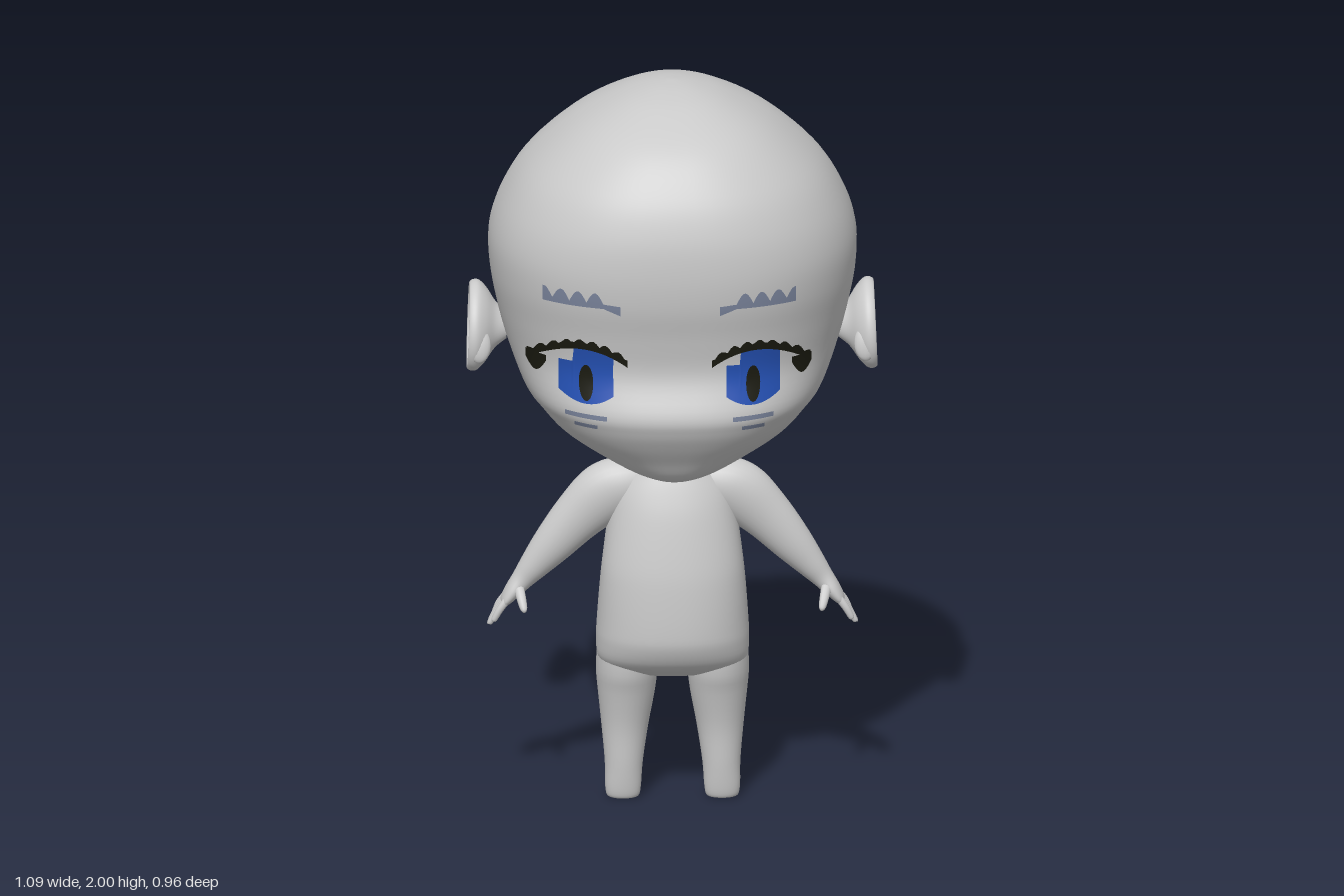
import * as THREE from 'three';

const mat = (name, color, side = THREE.FrontSide) => {
  const m = new THREE.MeshStandardMaterial({ color, side });
  m.name = name;
  return m;
};

// Smoothly resample a table of rows (Catmull-Rom on every column)
function resample(rows, steps) {
  const out = [];
  const at = (i) => rows[Math.max(0, Math.min(rows.length - 1, i))];
  for (let i = 0; i < rows.length - 1; i++) {
    for (let s = 0; s < steps; s++) {
      const t = s / steps;
      out.push(rows[i].map((b, k) => {
        const a = at(i - 1)[k], c = at(i + 1)[k], d = at(i + 2)[k];
        return b + 0.5 * t * (c - a + t * (2 * a - 5 * b + 4 * c - d + t * (3 * (b - c) + d - a)));
      }));
    }
  }
  out.push(rows[rows.length - 1]);
  return out;
}

// Skin closed rings of points, with a centre point capping each end
function loft(rings) {
  const n = rings[0].length, pos = [], idx = [];
  rings.forEach((r) => r.forEach((p) => pos.push(p.x, p.y, p.z)));
  for (let i = 0; i < rings.length - 1; i++) {
    for (let j = 0; j < n; j++) {
      const a = i * n + j, b = i * n + (j + 1) % n;
      idx.push(a, a + n, b, b, a + n, b + n);
    }
  }
  [0, rings.length - 1].forEach((ri, end) => {
    const c = new THREE.Vector3();
    rings[ri].forEach((p) => c.addScaledVector(p, 1 / n));
    const ci = pos.length / 3;
    pos.push(c.x, c.y, c.z);
    for (let j = 0; j < n; j++) {
      const a = ri * n + j, b = ri * n + (j + 1) % n;
      if (end) idx.push(ci, b, a); else idx.push(ci, a, b);
    }
  });
  const g = new THREE.BufferGeometry();
  g.setAttribute('position', new THREE.Float32BufferAttribute(pos, 3));
  g.setIndex(idx);
  g.computeVertexNormals();
  return g;
}

// Upright form; rows are [y, half width, front z, back z], bottom to top
const spow = (v, e) => Math.sign(v) * Math.pow(Math.abs(v), e);
function upright(rows, frontPower, n = 56) {
  return loft(rows.map(([y, w, f, b]) => Array.from({ length: n }, (_, j) => {
    const a = (j / n) * Math.PI * 2, s = Math.sin(a), e = s > 0 ? 2 / frontPower : 1;
    return new THREE.Vector3(w * spow(Math.cos(a), e), y, (f + b) / 2 + ((f - b) / 2) * spow(s, e));
  })));
}

// Limb in the xy plane; rows are [x, y, z, radius, z radius]
function limb(rows, steps = 5, n = 20) {
  const p = resample(rows, steps);
  return loft(p.map(([x, y, z, r, rz], i) => {
    const a = p[Math.max(0, i - 1)], b = p[Math.min(p.length - 1, i + 1)];
    const t = new THREE.Vector2(b[0] - a[0], b[1] - a[1]).normalize();
    return Array.from({ length: n }, (_, j) => {
      const q = (j / n) * Math.PI * 2, c = Math.cos(q) * r;
      return new THREE.Vector3(x + t.y * c, y - t.x * c, z + Math.sin(q) * rz);
    });
  }));
}

function mirrored(geo) {
  const g = geo.clone().scale(-1, 1, 1), ix = g.index.array;
  for (let i = 0; i < ix.length; i += 3) [ix[i], ix[i + 1]] = [ix[i + 1], ix[i]];
  return g;
}

const HEAD = resample([
  [0.962, 0.04, 0.27, -0.02], [0.975, 0.08, 0.33, -0.05], [1.0, 0.145, 0.375, -0.07],
  [1.05, 0.235, 0.41, -0.105], [1.1, 0.31, 0.445, -0.18], [1.15, 0.36, 0.472, -0.27],
  [1.2, 0.4, 0.48, -0.335], [1.3, 0.442, 0.445, -0.41], [1.4, 0.47, 0.455, -0.455],
  [1.5, 0.488, 0.476, -0.48], [1.6, 0.488, 0.482, -0.477], [1.7, 0.455, 0.47, -0.452],
  [1.8, 0.39, 0.43, -0.4], [1.9, 0.275, 0.345, -0.305], [1.965, 0.155, 0.21, -0.18],
  [1.992, 0.07, 0.1, -0.08], [2.0, 0.01, 0.015, -0.005],
], 5);
const FACE_POWER = 2.35;

// Depth of the face surface at (x, y)
function faceZ(x, y) {
  const i = HEAD.findIndex((r) => r[0] > y), a = HEAD[i - 1], b = HEAD[i];
  const t = (y - a[0]) / (b[0] - a[0]);
  const [, w, f, k] = a.map((v, c) => v + (b[c] - v) * t);
  return (f + k) / 2 + ((f - k) / 2) * Math.pow(1 - Math.pow(Math.abs(x) / w, FACE_POWER), 1 / FACE_POWER);
}

// Painted patch that follows the face between two edge curves
function patch(cx, s, d0, d1, top, bottom, lift = 0.004) {
  const g = new THREE.PlaneGeometry(1, 1, 32, 6), p = g.attributes.position;
  for (let i = 0; i < p.count; i++) {
    const d = d0 + (p.getX(i) + 0.5) * (d1 - d0), v = p.getY(i) + 0.5;
    const x = cx + s * d, y = bottom(d) + v * (top(d) - bottom(d));
    p.setXYZ(i, x, y, faceZ(x, y) + lift);
  }
  g.computeVertexNormals();
  return g;
}

export function createModel() {
  const skin = mat('skin grey', 0xcacaca);
  const blue = mat('iris blue', 0x2450b2, THREE.DoubleSide);
  const dark = mat('lash black', 0x1a1a10, THREE.DoubleSide);
  const slate = mat('brow slate', 0x7c869e, THREE.DoubleSide);
  const model = new THREE.Group();
  model.name = 'figure';
  const add = (name, geo, m = skin) => {
    const mesh = new THREE.Mesh(geo, m);
    mesh.name = name;
    model.add(mesh);
  };
  const pair = (name, geo) => {
    add('left' + name, geo);
    add('right' + name, mirrored(geo));
  };

  add('head', upright(HEAD, FACE_POWER, 72));

  // Torso with neck
  add('torso', upright(resample([
    [0.352, 0.12, 0.08, -0.05], [0.37, 0.175, 0.115, -0.08], [0.4, 0.2, 0.155, -0.108],
    [0.45, 0.204, 0.18, -0.133], [0.5, 0.202, 0.185, -0.135], [0.6, 0.195, 0.18, -0.105],
    [0.68, 0.187, 0.17, -0.088], [0.8, 0.17, 0.145, -0.1], [0.87, 0.15, 0.122, -0.09],
    [0.92, 0.11, 0.1, -0.07], [0.95, 0.072, 0.085, -0.06], [0.98, 0.068, 0.085, -0.062],
    [1.06, 0.09, 0.1, -0.09],
  ], 4), 2.2));

  // Legs
  pair('Leg', limb([
    [0.132, 0, 0.028, 0.03, 0.02], [0.132, 0.006, 0.028, 0.043, 0.028], [0.132, 0.035, 0.027, 0.048, 0.035],
    [0.13, 0.1, 0.02, 0.051, 0.048], [0.127, 0.2, 0.008, 0.063, 0.066], [0.123, 0.3, 0.01, 0.077, 0.084],
    [0.122, 0.36, 0.012, 0.082, 0.098], [0.12, 0.44, 0.015, 0.08, 0.1],
  ], 4, 28));

  // Arms, running into flat palms
  pair('Arm', limb([
    [0.05, 0.87, 0.015, 0.06, 0.05], [0.12, 0.872, 0.018, 0.075, 0.062], [0.18, 0.848, 0.02, 0.083, 0.06],
    [0.25, 0.785, 0.02, 0.07, 0.052], [0.32, 0.705, 0.02, 0.055, 0.045], [0.37, 0.645, 0.02, 0.04, 0.036],
    [0.4, 0.608, 0.02, 0.03, 0.03], [0.425, 0.577, 0.02, 0.023, 0.036], [0.445, 0.55, 0.018, 0.015, 0.036],
    [0.453, 0.54, 0.017, 0.006, 0.026],
  ], 5, 28));

  // Fingers and thumb
  [[0.046, 0.476, 0.503], [0.026, 0.486, 0.49], [0.004, 0.484, 0.488], [-0.017, 0.474, 0.5]].forEach(([z, x, y], i) => {
    pair('Finger' + (i + 1), limb([
      [0.436, 0.563, 0.018 + (z - 0.018) * 0.8, 0.011, 0.01], [0.46, 0.532, z, 0.01, 0.009],
      [x, y, z, 0.008, 0.008], [x + 0.002, y - 0.004, z, 0.003, 0.003],
    ], 4, 12));
  });
  pair('Thumb', limb([
    [0.412, 0.598, 0.035, 0.014, 0.014], [0.405, 0.572, 0.062, 0.013, 0.012],
    [0.398, 0.545, 0.082, 0.01, 0.01], [0.395, 0.535, 0.086, 0.004, 0.004],
  ], 4, 12));

  // Ears: a sheared dish with a rolled rim, an inner fold and a front flap
  const shear = new THREE.Matrix4().set(1, -0.04, 0, 0.53, 0, 1, 0, 1.292, 0, -0.22, 1, -0.067, 0, 0, 0, 1);
  const profile = [[0.3, -0.09], [0.5, -0.06], [0.8, -0.035], [0.97, -0.015], [1, 0], [0.95, 0.012],
    [0.86, 0.01], [0.76, -0.006], [0.55, -0.018], [0, -0.022]];
  const curve = new THREE.SplineCurve(profile.map((p) => new THREE.Vector2(...p)));
  const dish = new THREE.LatheGeometry(curve.getPoints(36).map((p) => new THREE.Vector2(Math.max(0, p.x), p.y)), 40);
  pair('Ear', dish.rotateZ(-Math.PI / 2).scale(1, 0.117, 0.095).applyMatrix4(shear));
  const fold = new THREE.TorusGeometry(0.05, 0.012, 10, 24, Math.PI * 1.1).rotateZ(-0.4).rotateY(Math.PI / 2);
  pair('EarFold', fold.scale(1, 1.2, 0.9).translate(-0.018, 0, 0).applyMatrix4(shear));
  const flap = new THREE.SphereGeometry(1, 16, 12).scale(0.03, 0.045, 0.016);
  pair('EarFlap', flap.translate(-0.018, -0.035, 0.07).applyMatrix4(shear));

  // Painted eyes; lashes and brows are mirrored, the iris highlight is not
  const flat = (y) => () => y;
  const jag = (d, f) => Math.abs(Math.sin(d * f));
  const lid = (d) => 1.39 - 3 * (d - 0.01) ** 2;
  [['left', 0.206, 1], ['right', -0.239, -1]].forEach(([side, cx, s]) => {
    add(side + 'Iris', patch(cx, 1, -0.072, 0.072, (d) => (d < -0.034 ? 1.335 : 1.388 - 4 * d * d), (d) => 1.226 + 5 * d * d), blue);
    const oval = (d) => 0.048 * Math.sqrt(Math.max(0, 1 - (d / 0.019) ** 2));
    add(side + 'Pupil', patch(cx, 1, -0.019, 0.019, (d) => 1.282 + oval(d), (d) => 1.282 - oval(d), 0.007), dark);
    add(side + 'Lash', patch(cx, s, -0.11, 0.155, (d) => lid(d) + 0.014 * jag(d, 90), (d) => lid(d) - 0.015, 0.007), dark);
    add(side + 'LashCorner', patch(cx, s, 0.105, 0.158, flat(1.335), (d) => 1.318 - 0.035 * jag(d - 0.105, 55), 0.007), dark);
    add(side + 'Brow', patch(cx, s, -0.045, 0.115, (d) => 1.515 + 0.03 * jag(d, 70), flat(1.502)), slate);
    add(side + 'BrowInner', patch(cx, s, -0.09, -0.045, (d) => 1.515 + 0.1 * (d + 0.045), (d) => 1.502 + 0.4 * (d + 0.045)), slate);
    add(side + 'LowerLid', patch(cx, s, -0.055, 0.055, flat(1.199), flat(1.186)), slate);
    add(side + 'LowerCrease', patch(cx, s, -0.03, 0.03, flat(1.17), flat(1.158)), slate);
  });
  return model;
}
